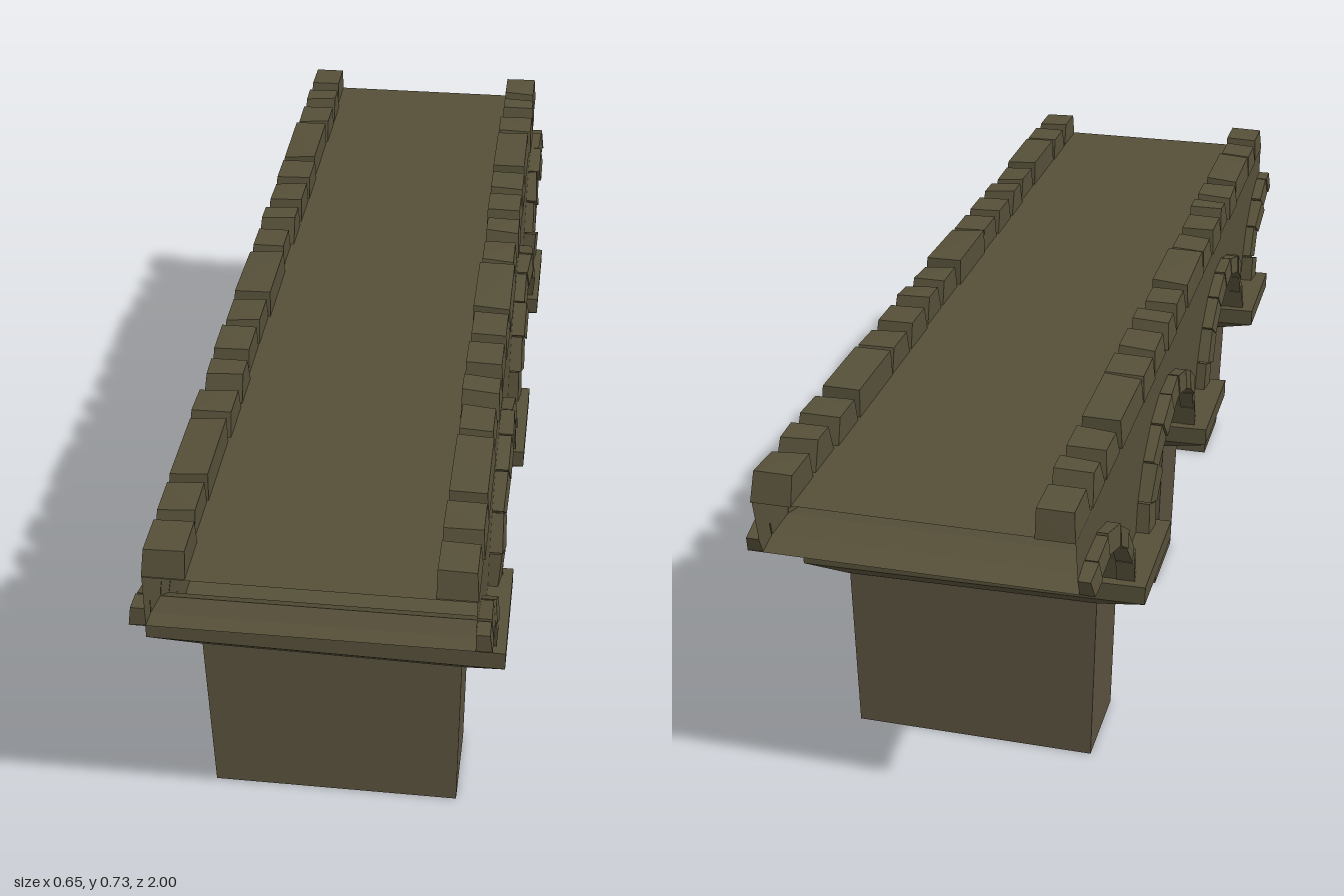
import * as THREE from 'three';
import { ConvexGeometry } from 'three/addons/geometries/ConvexGeometry.js';

const PIERS = [0.685, 0.055, -0.575];
const SPRING = 0.4, DECK_Y = 0.677;
const WALL_X = { left: 0.282, right: -0.271 };

// Each arch: centre z and the angles of its stone joints
const full = Array.from({ length: 10 }, (_, i) => i * 20);
const ARCHES = [
  { z: 1.0, joints: [90, ...full.filter(a => a > 90)] },
  { z: 0.37, joints: full },
  { z: -0.26, joints: full },
  { z: -0.89, joints: [...full.filter(a => a < 112), 112] },
];

// Point on an arch curve as [z, y]; grow is the distance outside the soffit
function archPoint(arch, deg, grow = 0) {
  const t = deg * Math.PI / 180;
  return [arch.z + (0.215 + grow) * Math.cos(t), SPRING + (0.175 + grow) * Math.sin(t)];
}

function seeded(seed) {
  return () => {
    seed = (seed * 16807) % 2147483647;
    return seed / 2147483647;
  };
}

// Surface between rings of points, with flat faces
function loft(rings, closed) {
  const pos = [];
  for (let r = 0; r < rings.length - 1; r++) {
    const a = rings[r], b = rings[r + 1], n = a.length;
    for (let i = 0; i < (closed ? n : n - 1); i++) {
      const j = (i + 1) % n;
      pos.push(...a[i], ...a[j], ...b[j], ...a[i], ...b[j], ...b[i]);
    }
  }
  const g = new THREE.BufferGeometry();
  g.setAttribute('position', new THREE.Float32BufferAttribute(pos, 3));
  g.computeVertexNormals();
  return g;
}

export function createModel() {
  const model = new THREE.Group();
  model.name = 'archBridge';
  const stone = new THREE.MeshStandardMaterial({ color: 0x565039, side: THREE.DoubleSide });
  stone.name = 'mossy stone';
  const pierStone = new THREE.MeshStandardMaterial({ color: 0x5a523f, side: THREE.DoubleSide });
  pierStone.name = 'pier stone';
  const rand = seeded(17);
  const jit = s => (rand() - 0.5) * s;

  const add = (parent, name, geometry, material = stone) => {
    const mesh = new THREE.Mesh(geometry, material);
    mesh.name = name;
    parent.add(mesh);
    return mesh;
  };
  const solid = points => new ConvexGeometry(points.map(p => new THREE.Vector3(...p)));
  const group = name => {
    const g = new THREE.Group();
    g.name = name;
    model.add(g);
    return g;
  };

  // Rectangle of points, tilted slightly downwards to the left side
  const rect = (x0, x1, y, hz, tilt) => [[x0, hz], [x1, hz], [x1, -hz], [x0, -hz]]
    .map(([x, z]) => [x, y - tilt * x, z]);

  // Hollow piers with flared capitals
  PIERS.forEach(z => {
    const pier = group('pier');
    pier.position.z = z;
    add(pier, 'pierShaft', loft([
      rect(-0.222, 0.245, 0, 0.088, 0),
      rect(-0.232, 0.248, 0.352, 0.09, 0.015),
    ], true), pierStone);
    add(pier, 'capital', solid([
      ...rect(-0.235, 0.25, 0.348, 0.097, 0.015),
      ...rect(-0.328, 0.327, 0.374, 0.122, 0.015),
      ...rect(-0.328, 0.327, 0.41, 0.122, 0.015),
    ]));
  });

  // Vault soffits spanning the width of the bridge
  ARCHES.forEach(arch => {
    const edge = x => arch.joints.map(a => {
      const [z, y] = archPoint(arch, a);
      return [x, y, z];
    });
    add(model, 'vault', loft([edge(-0.29), edge(0.308)], false));
  });

  // Side walls cut out by the arches
  const outline = [[1, DECK_Y]];
  ARCHES.forEach(arch => arch.joints.forEach(a => outline.push(archPoint(arch, a, 0.025))));
  outline.push([-0.997, DECK_Y]);
  const wallShape = new THREE.Shape(outline.map(p => new THREE.Vector2(...p)));
  for (const x of Object.values(WALL_X)) {
    const wall = new THREE.ShapeGeometry(wallShape);
    wall.rotateY(x > 0 ? -Math.PI / 2 : -Math.PI / 2);
    if (x > 0) {
      // Turn the left wall to face outwards
      const index = wall.index.array;
      for (let i = 0; i < index.length; i += 3) [index[i], index[i + 1]] = [index[i + 1], index[i]];
      wall.computeVertexNormals();
    }
    add(model, 'sideWall', wall).position.x = x;
  }

  // Roadway
  const deck = new THREE.PlaneGeometry(0.553, 1.995);
  deck.rotateX(-Math.PI / 2);
  add(model, 'roadway', deck).position.set(0.0055, DECK_Y, 0.001);

  // Wedge stones around each arch on both sides
  const rings = group('archStones');
  for (const wallX of Object.values(WALL_X)) {
    const s = Math.sign(wallX);
    ARCHES.forEach(arch => {
      for (let i = 0; i < arch.joints.length - 1; i++) {
        const a0 = arch.joints[i] + 0.4, a1 = arch.joints[i + 1] - 0.4;
        const bulge = 0.026 + rand() * 0.008, lift = 0.035 + jit(0.005);
        const points = [];
        for (const a of [a0, a1]) {
          const out = bulge + jit(0.006);
          for (const grow of [-0.002, lift]) {
            const [z, y] = archPoint(arch, a, grow);
            points.push([wallX, y, z], [wallX + s * (out - (grow > 0 ? 0.005 : 0)), y, z]);
          }
        }
        add(rings, 'archStone', solid(points));
      }
    });
  }

  // Parapet blocks: start and end relative to the pier, top inset, height
  const blocks = [
    [0.311, 0.207, 0.012, 0.047], [0.198, 0.094, 0.012, 0.045], [0.092, -0.091, 0.004, 0.05],
    [-0.102, -0.204, 0.013, 0.045], [-0.215, -0.305, 0.02, 0.05],
  ];
  const parapet = group('parapet');
  const row = PIERS.flatMap(p => blocks.map(([a, b, c, h]) => [p + a, p + b, c, h]));
  row.push([-0.893, -0.998, 0.012, 0.047]);
  for (const wallX of Object.values(WALL_X)) {
    const s = Math.sign(wallX);
    row.forEach(([z0, z1, inset, h]) => {
      const inner = wallX - s * (0.069 + jit(0.008)), outer = wallX + s * (0.003 + jit(0.006));
      const i0 = inset + jit(0.006), i1 = inset + jit(0.006), y = DECK_Y + h;
      add(parapet, 'parapetBlock', solid([
        [inner, DECK_Y - 0.002, z0], [outer, DECK_Y - 0.002, z0],
        [inner, DECK_Y - 0.002, z1], [outer, DECK_Y - 0.002, z1],
        [inner, y + 0.003, z0 - i0], [outer - s * 0.004, y + jit(0.008), z0 - i0],
        [inner, y + 0.003, z1 + i1], [outer - s * 0.004, y + jit(0.008), z1 + i1],
      ]));
    });
  }

  return model;
}
